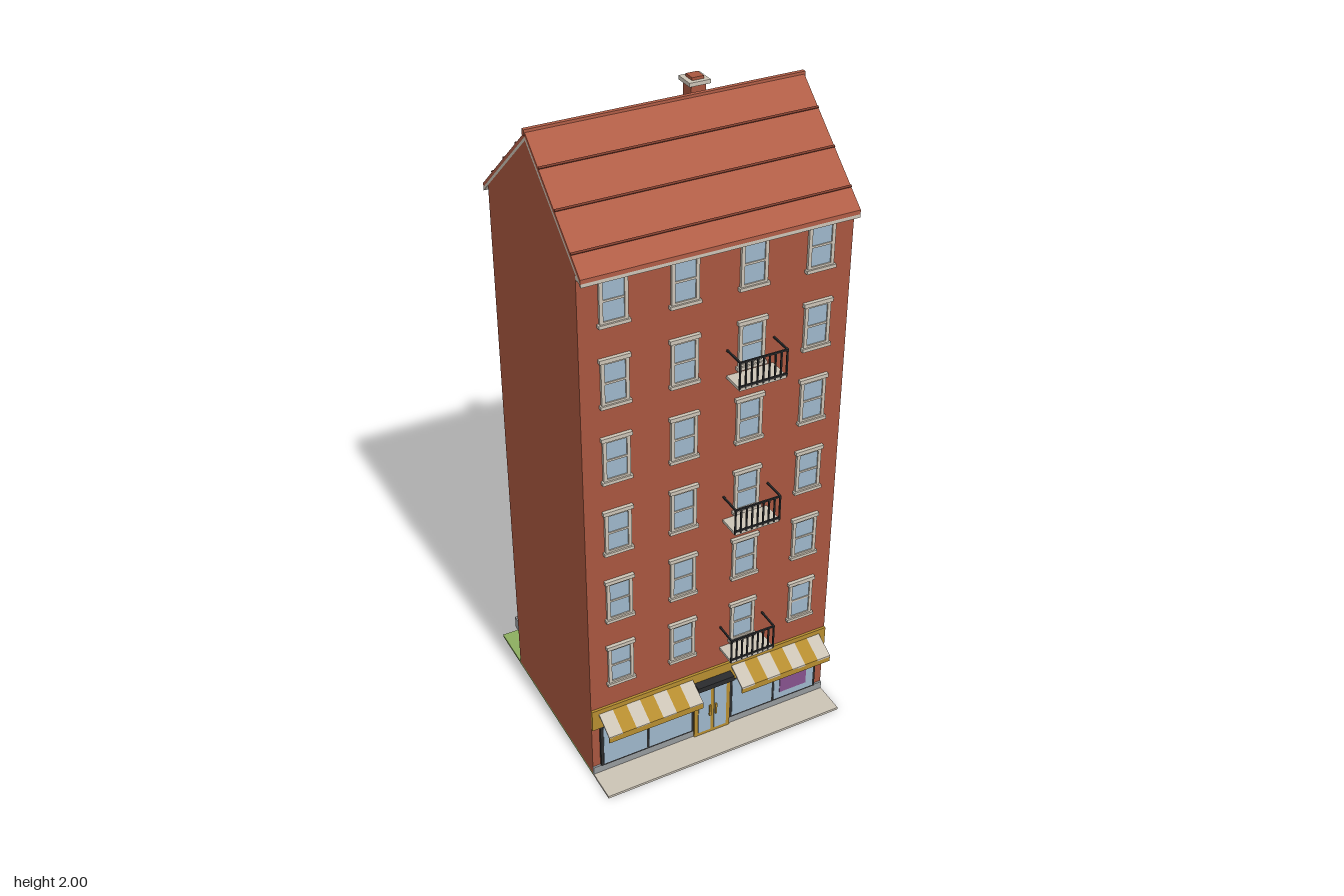
import * as THREE from 'three';

const mat = (name, color) => Object.assign(new THREE.MeshStandardMaterial({ color }), { name });

export function createModel() {
  const M = {
    brick: mat('brick', 0xa8563f), roof: mat('roof tile', 0xb05d46), ridge: mat('roof batten', 0x7a3b2c),
    stone: mat('pale stone', 0xcbc3b5), glass: mat('glass', 0x9db6c9), iron: mat('black iron', 0x2a2b2d),
    gold: mat('ochre', 0xb58c30), grey: mat('grey', 0x95999c), grass: mat('grass', 0x8cad5f),
    poster: mat('purple', 0x85528c),
  };
  const model = new THREE.Group();
  model.name = 'townhouse';

  const group = (name, parent = model) => {
    const g = new THREE.Group();
    g.name = name;
    parent.add(g);
    return g;
  };
  // box given by its min and max along each axis
  const box = (name, m, [x0, x1], [y0, y1], [z0, z1], parent = model) => {
    const mesh = new THREE.Mesh(new THREE.BoxGeometry(x1 - x0, y1 - y0, z1 - z0), m);
    mesh.position.set((x0 + x1) / 2, (y0 + y1) / 2, (z0 + z1) / 2);
    mesh.name = name;
    parent.add(mesh);
    return mesh;
  };
  // profile of [z, y] points extruded along x
  const prism = (name, m, points, x0, x1, parent = model) => {
    const shape = new THREE.Shape(points.map(p => new THREE.Vector2(...p)));
    const geo = new THREE.ExtrudeGeometry(shape, { depth: x1 - x0, bevelEnabled: false });
    geo.rotateY(-Math.PI / 2).translate(x1, 0, 0);
    const mesh = new THREE.Mesh(geo, m);
    mesh.name = name;
    parent.add(mesh);
    return mesh;
  };

  const W = 0.4, FRONT = 0.294, BACK = -0.254;

  // ground
  box('lawn', M.grass, [-W, W], [0, 0.008], [-0.4, FRONT]);
  box('pavement', M.stone, [-W, W], [0, 0.008], [FRONT, 0.4]);

  // walls with gables
  const ridgeZ = 0.02, ridgeY = 1.975, slope = 0.87;
  const roofY = z => ridgeY - Math.abs(z - ridgeZ) * slope;
  prism('walls', M.brick, [[BACK, 0.008], [FRONT, 0.008], [FRONT, roofY(FRONT) - 0.022],
    [ridgeZ, ridgeY - 0.022], [BACK, roofY(BACK) - 0.022]], -W, W);

  // roof: tiles over a pale soffit
  const roof = group('roof');
  const eaves = [-0.29, 0.322];
  const layer = (name, m, top, low) => prism(name, m, [
    [eaves[0], roofY(eaves[0]) - low], [ridgeZ, ridgeY - low], [eaves[1], roofY(eaves[1]) - low],
    [eaves[1], roofY(eaves[1]) - top], [ridgeZ, ridgeY - top], [eaves[0], roofY(eaves[0]) - top]], -W, W, roof);
  layer('roofTiles', M.roof, 0, 0.012);
  layer('roofSoffit', M.stone, 0.012, 0.022);
  for (const z of [-0.22, -0.133, -0.045, 0.095, 0.182, 0.27]) {
    const b = box('roofBatten', M.ridge, [-W, W], [-0.004, 0.004], [-0.003, 0.003], roof);
    b.position.set(0, roofY(z), z);
    b.rotation.x = Math.sign(z - ridgeZ) * Math.atan(slope);
  }
  box('ridgeCap', M.roof, [-0.403, 0.403], [1.966, 1.982], [0.009, 0.021], roof);
  box('cornice', M.stone, [-W, W], [1.7, 1.712], [FRONT, 0.308], roof);

  // chimney
  const chimney = group('chimney');
  box('chimneyShaft', M.brick, [0.091, 0.135], [1.86, 1.983], [-0.077, -0.033], chimney);
  box('chimneyCap', M.stone, [0.082, 0.144], [1.981, 1.992], [-0.087, -0.025], chimney);
  box('chimneyPot', M.brick, [0.096, 0.131], [1.992, 2], [-0.073, -0.038], chimney);

  // upper windows, built facing +z around the origin
  const frameShape = new THREE.Shape();
  const rect = (p, w, h) => p.moveTo(-w, -h).lineTo(w, -h).lineTo(w, h).lineTo(-w, h).closePath();
  rect(frameShape, 0.04, 0.07);
  const hole = new THREE.Path();
  rect(hole, 0.03, 0.058);
  frameShape.holes.push(hole);
  const frameGeo = new THREE.ExtrudeGeometry(frameShape, { depth: 0.008, bevelEnabled: false });
  const addWindow = (x, y, z, back) => {
    const g = group(back ? 'backWindow' : 'frontWindow');
    const frame = new THREE.Mesh(frameGeo, M.stone);
    frame.name = 'windowFrame';
    g.add(frame);
    box('windowGlass', M.glass, [-0.031, 0.031], [-0.059, 0.059], [0, 0.004], g);
    box('windowSill', M.stone, [-0.045, 0.045], [-0.074, -0.064], [0, 0.013], g);
    if (!back) {
      box('windowLintel', M.stone, [-0.045, 0.045], [0.063, 0.075], [0, 0.011], g);
      box('sashRail', M.stone, [-0.03, 0.03], [-0.003, 0.003], [0.003, 0.007], g);
    }
    g.position.set(x, y, z);
    if (back) g.rotation.y = Math.PI;
  };
  for (let row = 0; row < 6; row++) {
    const y = 0.419 + row * 0.241;
    for (const x of [-0.302, -0.101, 0.1, 0.301]) addWindow(x, y, FRONT, false);
    for (const x of [-0.267, 0, 0.267]) addWindow(x, y, BACK, true);
  }

  // balconies
  for (const row of [0, 2, 4]) {
    const g = group('balcony');
    g.position.set(0.099, 0.325 + row * 0.241, 0);
    box('balconySlab', M.stone, [-0.072, 0.072], [0, 0.009], [FRONT, 0.365], g);
    for (const y of [0.011, 0.086])
      box('frontRail', M.iron, [-0.074, 0.074], [y, y + 0.005], [0.362, 0.367], g);
    for (const s of [-1, 1])
      box('sideRail', M.iron, [s * 0.0715 - 0.0025, s * 0.0715 + 0.0025], [0.086, 0.091], [FRONT, 0.364], g);
    for (let i = 0; i < 9; i++) {
      const x = -0.0715 + i * 0.143 / 8;
      box('baluster', M.iron, [x - 0.0022, x + 0.0022], [0.005, 0.088], [0.362, 0.3665], g);
    }
  }

  // shop front
  const shop = group('shopFront');
  box('plinth', M.grey, [-W, W], [0.008, 0.034], [FRONT, 0.3], shop);
  box('fascia', M.gold, [-W, W], [0.19, 0.264], [FRONT, 0.302], shop);
  for (const [x0, x1] of [[-0.375, -0.062], [0.062, 0.372]]) {
    const mid = (x0 + x1) / 2;
    box('shopWindowFrame', M.iron, [x0, x1], [0.032, 0.192], [FRONT, 0.302], shop);
    box('shopGlass', M.glass, [x0 + 0.009, mid - 0.004], [0.04, 0.187], [0.3, 0.304], shop);
    box('shopGlass', M.glass, [mid + 0.004, x1 - 0.009], [0.04, 0.187], [0.3, 0.304], shop);
  }
  box('windowPoster', M.poster, [0.241, 0.336], [0.064, 0.175], [0.302, 0.306], shop);

  // striped awnings
  for (const x0 of [-0.378, 0.066]) {
    const g = group('awning', shop);
    const w = 0.311 / 7;
    for (let i = 0; i < 7; i++)
      prism('awningStripe', i % 2 ? M.gold : M.stone,
        [[0.3, 0.243], [0.37, 0.207], [0.37, 0.213], [0.3, 0.249]], x0 + i * w, x0 + (i + 1) * w, g);
    box('awningValance', M.gold, [x0, x0 + 0.311], [0.191, 0.21], [0.365, 0.37], g);
  }

  // double entrance door
  const door = group('entrance');
  box('doorFrame', M.gold, [-0.061, 0.061], [0.008, 0.215], [FRONT, 0.305], door);
  for (const s of [-1, 1]) {
    box('doorGlass', M.glass, [s * 0.027 - 0.021, s * 0.027 + 0.021], [0.022, 0.2], [0.302, 0.308], door);
    box('doorHandle', M.gold, [s * 0.01 - 0.003, s * 0.01 + 0.003], [0.085, 0.125], [0.306, 0.314], door);
  }
  box('doorCanopy', M.iron, [-0.062, 0.062], [0.212, 0.23], [FRONT, 0.329], door);

  // plain back door
  box('backDoor', M.brick, [-0.045, 0.045], [0.008, 0.2], [BACK - 0.006, BACK], model);

  // parked cars
  for (const x of [-0.195, 0.183]) {
    const car = group('parkedCar');
    car.position.x = x;
    box('carBody', M.grey, [-0.16, 0.16], [0.026, 0.07], [-0.397, -0.262], car);
    box('carCabin', M.grey, [-0.103, 0.073], [0.07, 0.112], [-0.389, -0.27], car);
    for (const wx of [-0.1, 0.1])
      for (const z of [-0.392, -0.266])
        box('carWheel', M.iron, [wx - 0.025, wx + 0.025], [0.006, 0.056], [z - 0.011, z + 0.008], car);
  }
  return model;
}
